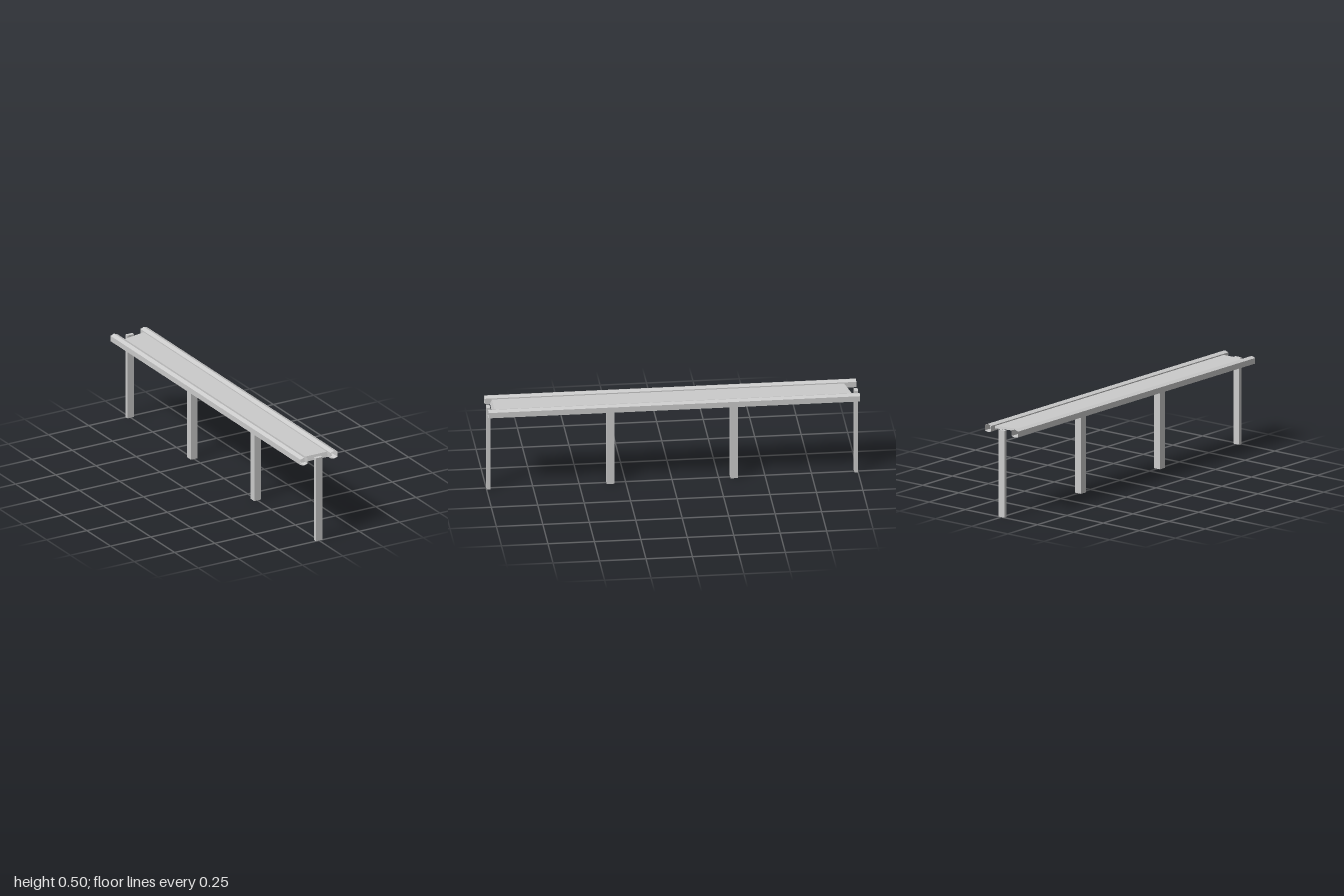
import * as THREE from 'three';

const material = new THREE.MeshStandardMaterial({ color: 0xcccccc, flatShading: true, side: THREE.DoubleSide });

// Open sheet swept between two rows of points
function strip(name, rowA, rowB) {
  const positions = [];
  for (let i = 0; i < rowA.length - 1; i++) {
    const [a, b, c, d] = [rowA[i], rowB[i], rowB[i + 1], rowA[i + 1]];
    positions.push(...a, ...b, ...c, ...a, ...c, ...d);
  }
  const geometry = new THREE.BufferGeometry();
  geometry.setAttribute('position', new THREE.Float32BufferAttribute(positions, 3));
  geometry.computeVertexNormals();
  const mesh = new THREE.Mesh(geometry, material);
  mesh.name = name;
  return mesh;
}

// Hollow six-sided rail with open ends
function rail(name, x) {
  const w = 0.022;
  const section = [[0, 0.5], [w, 0.492], [w, 0.461], [0, 0.455], [-w, 0.461], [-w, 0.492], [0, 0.5]];
  const ring = z => section.map(([dx, y]) => [x + dx, y, z]);
  return strip(name, ring(-1), ring(1));
}

// Square post with an open foot
function post(name, z, depth) {
  const height = 0.48;
  const geometry = new THREE.BoxGeometry(0.041, height, depth);
  const index = Array.from(geometry.index.array);
  index.splice(18, 6); // leave out the bottom face
  geometry.setIndex(index);
  geometry.clearGroups();
  const mesh = new THREE.Mesh(geometry, material);
  mesh.name = name;
  mesh.position.set(0, height / 2, z);
  return mesh;
}

export function createModel() {
  const group = new THREE.Group();
  group.name = 'railedWalkway';

  group.add(rail('leftRail', 0.093), rail('rightRail', -0.093));

  // Thin deck with a square front lip and a skewed back lip
  const top = 0.486;
  group.add(strip('deck',
    [[-0.096, 0.46, 0.972], [-0.096, top, 0.962], [-0.096, top, -0.928], [-0.096, 0.473, -0.931]],
    [[0.096, 0.46, 0.972], [0.096, top, 0.962], [0.1, top, -0.971], [0.1, 0.473, -0.974]]));

  // Two middle posts and two half-depth end posts
  for (const [side, s] of [['front', 1], ['back', -1]]) {
    group.add(post(side + 'EndPost', s * 0.99, 0.02));
    group.add(post(side + 'MiddlePost', s * 0.333, 0.04));
  }
  return group;
}
